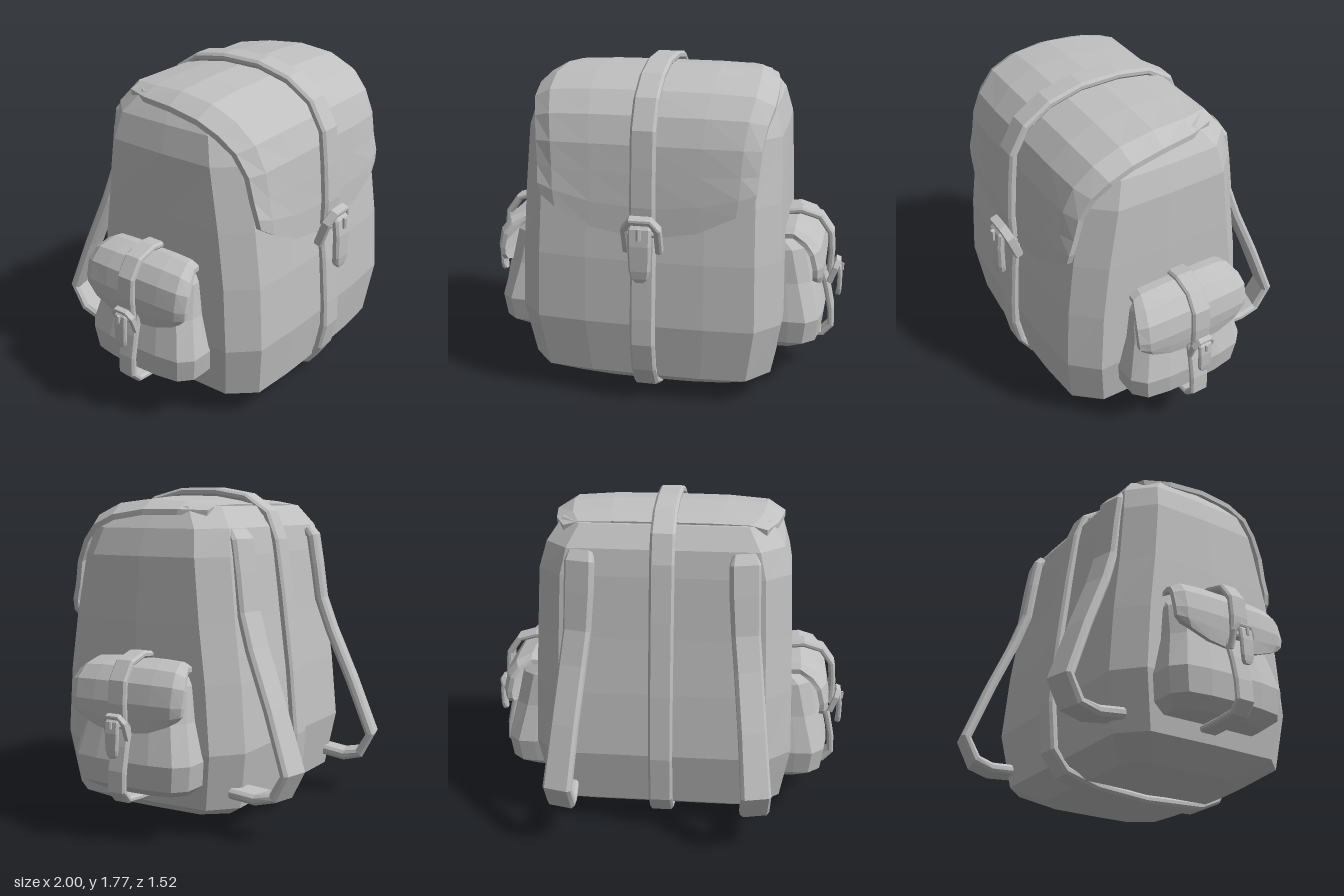
import * as THREE from 'three';

const fabric = new THREE.MeshStandardMaterial({ color: 0xc0c0c0, flatShading: true });
fabric.name = 'grey fabric';
const V = (x, y, z) => new THREE.Vector3(x, y, z);

// Skin a row of equal-sized rings and cap both ends; faces are turned outward.
function loft(name, rings) {
  const tris = [], n = rings[0].length;
  for (let i = 0; i < rings.length - 1; i++) {
    for (let j = 0; j < n; j++) {
      const k = (j + 1) % n, a = rings[i], b = rings[i + 1];
      tris.push([a[j], a[k], b[k]], [a[j], b[k], b[j]]);
    }
  }
  const last = rings[rings.length - 1];
  // caps are zipped across, so thin curved sections close cleanly
  for (let lo = 0, hi = n - 1; lo < hi; lo++, hi--) {
    tris.push([rings[0][hi], rings[0][lo + 1], rings[0][lo]], [last[lo], last[lo + 1], last[hi]]);
    if (hi - 1 > lo + 1) {
      tris.push([rings[0][hi], rings[0][hi - 1], rings[0][lo + 1]], [last[lo + 1], last[hi - 1], last[hi]]);
    }
  }
  const centre = rings[0][0];
  let volume = 0;
  for (const [a, b, c] of tris) {
    volume += a.clone().sub(centre).dot(b.clone().sub(centre).cross(c.clone().sub(centre)));
  }
  const points = tris.flatMap(([a, b, c]) => (volume < 0 ? [a, c, b] : [a, b, c]));
  const geometry = new THREE.BufferGeometry().setFromPoints(points);
  geometry.computeVertexNormals();
  const mesh = new THREE.Mesh(geometry, fabric);
  mesh.name = name;
  return mesh;
}

// Chamfered band swept along a path; side is the direction of its width.
function band(name, path, side, width, thick) {
  const rings = path.map((p, i) => {
    const tangent = path[Math.min(i + 1, path.length - 1)].clone().sub(path[Math.max(i - 1, 0)]);
    const normal = tangent.cross(side).normalize();
    const w = (Array.isArray(width) ? width[i] : width) / 2, t = thick / 2;
    return [[-w, -t * 0.4], [-w * 0.8, -t], [w * 0.8, -t], [w, -t * 0.4],
      [w, t * 0.4], [w * 0.8, t], [-w * 0.8, t], [-w, t * 0.4]]
      .map(([u, v]) => p.clone().addScaledVector(side, u).addScaledVector(normal, v));
  });
  return loft(name, rings);
}

// Bag shape from rows of [height, front z, back z, half width], with chamfered corners.
function bag(name, rows, cz) {
  return loft(name, rows.map(([y, f, b, h]) => {
    const half = [[0.45 * h, f - 0.005], [0.82 * h, f - 0.025], [h, f - cz],
      [h * 1.01, (f + b) / 2], [h, b + cz * 0.8], [0.8 * h, b]];
    return [V(0, y, f), ...half.map(([x, z]) => V(x, y, z)), V(0, y, b),
      ...half.reverse().map(([x, z]) => V(-x, y, z))];
  }));
}

// Curved lid from rows of [z, y, half width, curve of the lower edge, droop of the sides].
function flap(name, rows, thick) {
  const ts = [-1, -0.85, -0.5, 0, 0.5, 0.85, 1], drop = [1, 0.25, 0.04, 0, 0.04, 0.25, 1];
  return loft(name, rows.map(([z, y, w, curve, droop], i) => {
    const a = rows[Math.max(i - 1, 0)], b = rows[Math.min(i + 1, rows.length - 1)];
    const inward = V(0, b[0] - a[0], a[1] - b[1]).normalize().multiplyScalar(-1);
    const edge = (depth) => ts.map((t, j) =>
      V(t * w, y + curve * t * t, z).addScaledVector(inward, droop * drop[j] + depth));
    return [...edge(0), ...edge(thick).reverse()];
  }));
}

// Buckle arch, crossbar, strap tongue and pin.
function buckle() {
  const group = new THREE.Group();
  group.name = 'buckle';
  const arch = band('buckleFrame', [[-0.085, -0.09], [-0.085, 0.05], [-0.05, 0.1], [0.05, 0.1], [0.085, 0.05], [0.085, -0.09]]
    .map(([x, y]) => V(x, y, 0)), V(0, 0, 1), 0.05, 0.035);
  arch.rotation.x = 0.35;
  const bar = new THREE.Mesh(new THREE.CylinderGeometry(0.018, 0.018, 0.17, 6), fabric);
  bar.name = 'buckleBar';
  bar.rotation.z = Math.PI / 2;
  bar.position.set(0, 0.02, 0.01);
  const tongue = band('strapTongue', [[0.08, 0.02], [0.05, 0.045], [-0.03, 0.055], [-0.16, 0.055], [-0.2, 0.05], [-0.22, 0.045]]
    .map(([y, z]) => V(0, y, z)), V(1, 0, 0), [0.1, 0.12, 0.12, 0.11, 0.09, 0.05], 0.04);
  const pin = new THREE.Mesh(new THREE.CylinderGeometry(0.014, 0.014, 0.06, 6), fabric);
  pin.name = 'bucklePin';
  pin.position.set(0, 0.035, 0.072);
  group.add(arch, bar, tongue, pin);
  return group;
}

const yz = (points) => points.map(([z, y]) => V(0, y, z));

// Side pocket, built facing +z.
function pocket(name) {
  const group = new THREE.Group();
  group.name = name;
  group.add(bag('pocketBody', [
    [0.24, 0.82, 0.55, 0.27], [0.29, 0.895, 0.55, 0.33], [0.42, 0.91, 0.55, 0.35],
    [0.62, 0.86, 0.55, 0.3], [0.8, 0.82, 0.55, 0.28], [0.87, 0.75, 0.55, 0.25]], 0.09));
  group.add(flap('pocketFlap', [
    [0.62, 0.915, 0.27, 0, 0.03], [0.74, 0.925, 0.29, 0, 0.03], [0.83, 0.89, 0.32, 0, 0.04],
    [0.885, 0.82, 0.335, 0, 0.04], [0.905, 0.72, 0.335, 0, 0.035],
    [0.9, 0.64, 0.33, 0.03, 0.03], [0.89, 0.56, 0.3, 0.08, 0.02]], 0.025));
  group.add(band('pocketUpperStrap', yz([[0.62, 0.93], [0.76, 0.945], [0.86, 0.915], [0.92, 0.83],
    [0.93, 0.72], [0.925, 0.61]]), V(1, 0, 0), 0.105, 0.035));
  group.add(band('pocketLowerStrap', yz([[0.88, 0.62], [0.915, 0.5], [0.94, 0.38], [0.945, 0.28],
    [0.9, 0.23], [0.8, 0.22], [0.6, 0.215]]), V(1, 0, 0), 0.105, 0.035));
  const clasp = buckle();
  clasp.scale.setScalar(0.65);
  clasp.position.set(0, 0.6, 0.945);
  group.add(clasp);
  return group;
}

export function createModel() {
  const model = new THREE.Group();
  model.name = 'backpack';

  // main bag
  model.add(bag('mainBag', [
    [0.06, 0.49, -0.28, 0.48], [0.15, 0.62, -0.42, 0.65], [0.45, 0.66, -0.47, 0.7],
    [0.8, 0.64, -0.44, 0.69], [1.1, 0.6, -0.4, 0.68], [1.43, 0.54, -0.365, 0.665],
    [1.57, 0.5, -0.34, 0.625], [1.68, 0.36, -0.26, 0.55]], 0.16));

  // lid folding over the front
  model.add(flap('mainFlap', [
    [-0.24, 1.69, 0.53, 0, 0.03], [-0.1, 1.715, 0.59, 0, 0.05], [0.1, 1.735, 0.62, 0, 0.07],
    [0.3, 1.715, 0.63, 0, 0.08], [0.45, 1.65, 0.625, 0, 0.08], [0.55, 1.54, 0.6, 0, 0.07],
    [0.6, 1.4, 0.58, 0, 0.05], [0.615, 1.25, 0.57, 0.02, 0.04],
    [0.63, 1.08, 0.565, 0.1, 0.03], [0.635, 0.92, 0.55, 0.2, 0.03]], 0.03));

  // strap running all the way round
  model.add(band('centreStrap', yz([
    [0.65, 0.97], [0.655, 1.1], [0.64, 1.3], [0.62, 1.48], [0.54, 1.62], [0.4, 1.71], [0.22, 1.755],
    [0, 1.755], [-0.18, 1.725], [-0.31, 1.64], [-0.365, 1.5], [-0.41, 1.2], [-0.46, 0.8],
    [-0.49, 0.45], [-0.47, 0.2], [-0.39, 0.1], [-0.2, 0.05], [0.1, 0.03], [0.47, 0.05],
    [0.58, 0.1], [0.65, 0.21], [0.68, 0.36], [0.675, 0.5], [0.655, 0.75], [0.63, 0.95]]),
  V(1, 0, 0), 0.13, 0.045));
  const clasp = buckle();
  clasp.position.set(0, 0.95, 0.675);
  model.add(clasp);

  for (const s of [-1, 1]) {
    // side pockets
    const side = pocket(s > 0 ? 'leftPocket' : 'rightPocket');
    side.rotation.y = s * Math.PI / 2;
    side.position.z = 0.045;
    model.add(side);

    // shoulder straps
    const path = [[0.42, 1.55, -0.335], [0.425, 1.51, -0.37], [0.43, 1.35, -0.395], [0.44, 1.15, -0.42],
      [0.46, 0.97, -0.48], [0.49, 0.68, -0.6], [0.52, 0.37, -0.715], [0.515, 0.25, -0.65],
      [0.52, 0.225, -0.55], [0.53, 0.24, -0.41]].map(([x, y, z]) => V(s * x, y, z));
    model.add(band(s > 0 ? 'leftShoulderStrap' : 'rightShoulderStrap', path,
      V(1, 0, s * 0.25).normalize(), [0.13, 0.16, 0.16, 0.15, 0.15, 0.15, 0.16, 0.16, 0.15, 0.14], 0.055));
  }
  return model;
}
